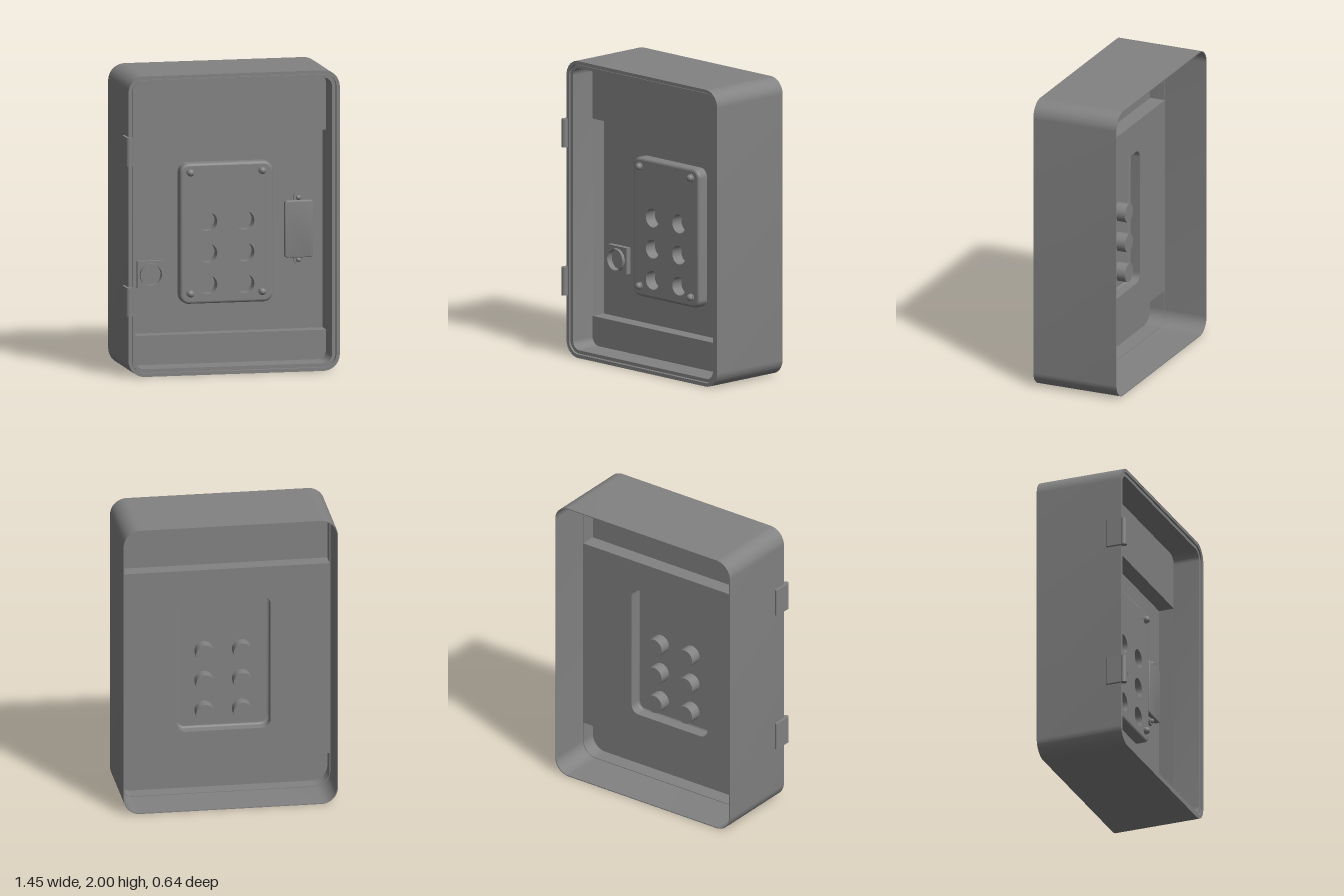
import * as THREE from 'three';
import { toCreasedNormals } from 'three/addons/utils/BufferGeometryUtils.js';

const material = new THREE.MeshStandardMaterial({ color: 0x828282, side: THREE.DoubleSide });
const CX = 0.0105; // the case sits slightly off centre because of the hinges

function add(parent, name, geometry, x = 0, y = 0, z = 0) {
  const mesh = new THREE.Mesh(geometry, material);
  mesh.name = name;
  mesh.position.set(x, y, z);
  parent.add(mesh);
}

// Rounded rectangle outline from its limits
function roundRect(x0, x1, y0, y1, r, Type = THREE.Shape) {
  const s = new Type();
  s.moveTo(x0 + r, y0);
  s.lineTo(x1 - r, y0);
  s.absarc(x1 - r, y0 + r, r, -Math.PI / 2, 0);
  s.lineTo(x1, y1 - r);
  s.absarc(x1 - r, y1 - r, r, 0, Math.PI / 2);
  s.lineTo(x0 + r, y1);
  s.absarc(x0 + r, y1 - r, r, Math.PI / 2, Math.PI);
  s.lineTo(x0, y0 + r);
  s.absarc(x0 + r, y0 + r, r, Math.PI, Math.PI * 1.5);
  return s;
}

function circle(x, y, r, Type = THREE.Path) {
  const s = new Type();
  s.absarc(x, y, r, 0, Math.PI * 2);
  return s;
}

// Case outline shrunk by d on every side
const caseOutline = (d, Type) =>
  roundRect(CX - 0.713 + d, CX + 0.713 - d, d, 2 - d, 0.11 - d, Type);

// Extrude a shape from z0 to z1; an optional bevel stays inside those limits
function slab(shape, z0, z1, bevel = 0) {
  const g = new THREE.ExtrudeGeometry(shape, {
    depth: z1 - z0 - 2 * bevel, curveSegments: 12, bevelEnabled: bevel > 0,
    bevelSize: bevel, bevelThickness: bevel, bevelOffset: -bevel, bevelSegments: 3,
  });
  g.translate(0, 0, z0 + bevel);
  return toCreasedNormals(g, 0.35);
}

function frame(outer, inner, z0, z1) {
  const shape = caseOutline(outer);
  shape.holes.push(caseOutline(inner, THREE.Path));
  return slab(shape, z0, z1);
}

function cylinderZ(r, length, segments = 32, open = false) {
  return new THREE.CylinderGeometry(r, r, length, segments, 1, open).rotateX(Math.PI / 2);
}

function screw(parent, name, r, x, y, z) {
  add(parent, name, new THREE.SphereGeometry(r, 20, 8, 0, Math.PI * 2, 0, Math.PI / 2)
    .rotateX(Math.PI / 2), x, y, z);
}

export function createModel() {
  const root = new THREE.Group();
  root.name = 'enclosureDoor';
  const MAIN = -0.015, BAND = 0.09, FACE = 0.06, SHEET = 0.006;

  // Thin outer case, open at the back, and the grooved front rim
  add(root, 'outerCase', frame(0, 0.006, -0.32, 0.28));
  add(root, 'pocketWall', frame(0.004, 0.01, MAIN - SHEET, BAND));
  add(root, 'outerLip', frame(0.002, 0.023, BAND - SHEET, 0.279));
  add(root, 'rimGroove', frame(0.02, 0.03, BAND - SHEET, 0.255));
  add(root, 'innerLip', frame(0.028, 0.05, BAND - SHEET, 0.27));

  // Main panel with the console opening, and its side walls
  const X0 = -0.303, X1 = 0.323, Y0 = 0.44, Y1 = 1.375;
  const opening = () => roundRect(X0 + 0.004, X1 - 0.004, Y0 + 0.004, Y1 - 0.004, 0.056, THREE.Path);
  const panel = roundRect(CX - 0.708, CX + 0.708, 0.24, 1.58, 0.001);
  panel.holes.push(opening());
  add(root, 'mainPanel', slab(panel, MAIN - SHEET, MAIN));
  for (const side of [-1, 1]) {
    add(root, 'panelSideWall', new THREE.BoxGeometry(0.04, 1.34, BAND - MAIN), CX + side * 0.685, 0.91, (BAND + MAIN) / 2);
  }

  // Raised bands above and below, joined to the panel by ledges
  for (const [name, y0, y1, ledge] of [['upper', 1.58, 1.955, 1.5775], ['lower', 0.045, 0.24, 0.2425]]) {
    add(root, name + 'Band', new THREE.BoxGeometry(1.35, y1 - y0, SHEET), CX, (y0 + y1) / 2, BAND - SHEET / 2);
    add(root, name + 'Ledge', new THREE.BoxGeometry(1.41, 0.005, BAND - MAIN + SHEET),
      CX, ledge, (BAND + MAIN - SHEET) / 2);
  }

  // Console: hollow raised box with button wells
  const consoleGroup = new THREE.Group();
  consoleGroup.name = 'console';
  root.add(consoleGroup);
  const EDGE = 0.018;
  const wall = roundRect(X0, X1, Y0, Y1, 0.06);
  wall.holes.push(opening());
  add(consoleGroup, 'consoleWall', slab(wall, MAIN - SHEET, FACE - EDGE));
  const wells = [];
  for (const x of [-0.116, 0.134]) for (const y of [0.565, 0.775, 0.985]) wells.push([x, y]);
  const plate = roundRect(X0 + EDGE, X1 - EDGE, Y0 + EDGE, Y1 - EDGE, 0.06 - EDGE);
  for (const [x, y] of wells) plate.holes.push(circle(x, y, 0.063));
  add(consoleGroup, 'consoleFace', slab(plate, FACE - SHEET, FACE));

  // Rounded console border, from outlines stepped around a quarter circle
  const positions = [], indices = [], STEPS = 4;
  for (let i = 0; i <= STEPS; i++) {
    const a = (i / STEPS) * Math.PI / 2;
    const d = EDGE * (1 - Math.cos(a)), z = FACE - EDGE + EDGE * Math.sin(a);
    roundRect(X0 + d, X1 - d, Y0 + d, Y1 - d, 0.06 - d).extractPoints(12).shape
      .forEach((p) => positions.push(p.x, p.y, z));
  }
  const n = positions.length / 3 / (STEPS + 1);
  for (let i = 0; i < STEPS; i++) {
    for (let j = 0; j < n; j++) {
      const a = i * n + j, b = i * n + (j + 1) % n;
      indices.push(a, b, b + n, a, b + n, a + n);
    }
  }
  const border = new THREE.BufferGeometry();
  border.setAttribute('position', new THREE.Float32BufferAttribute(positions, 3));
  border.setIndex(indices);
  border.computeVertexNormals();
  add(consoleGroup, 'consoleBorder', border);

  for (const [x, y] of wells) {
    add(consoleGroup, 'buttonWell', cylinderZ(0.063, 0.085, 32, true), x, y, FACE - 0.0435);
    add(consoleGroup, 'buttonWellFloor', cylinderZ(0.063, 0.004), x, y, FACE - 0.085);
  }
  for (const x of [-0.235, 0.25]) for (const y of [0.51, 1.315]) {
    add(consoleGroup, 'screwCollar', cylinderZ(0.026, 0.012, 20), x, y, FACE + 0.006);
    screw(consoleGroup, 'consoleScrew', 0.024, x, y, FACE + 0.01);
  }

  // Lock: square base with a hollow round collar
  const lock = new THREE.Group();
  lock.name = 'lock';
  lock.position.set(-0.492, 0.64, 0);
  root.add(lock);
  const base = roundRect(-0.09, 0.09, -0.09, 0.09, 0.002);
  base.holes.push(circle(0, 0, 0.069));
  add(lock, 'lockBase', slab(base, MAIN, 0.022));
  const collar = circle(0, 0, 0.076, THREE.Shape);
  collar.holes.push(circle(0, 0, 0.069));
  add(lock, 'lockCollar', slab(collar, 0.022, 0.045));
  add(lock, 'lockFloor', cylinderZ(0.069, 0.004), 0, 0, 0);

  // Latch cover with a screw tab at each end
  const latch = new THREE.Group();
  latch.name = 'latch';
  root.add(latch);
  add(latch, 'latchCover', slab(roundRect(0.413, 0.602, 0.72, 1.1, 0.018), MAIN, 0.025, 0.008));
  for (const y of [0.703, 1.117]) {
    add(latch, 'latchTab', cylinderZ(0.032, 0.015, 24), 0.508, y, MAIN + 0.0075);
    screw(latch, 'latchScrew', 0.017, 0.508, y, MAIN + 0.015);
  }

  // Hinges: barrel and leaf on the right-hand side of the case
  for (const y of [0.505, 1.503]) {
    const hinge = new THREE.Group();
    hinge.name = 'hinge';
    hinge.position.y = y;
    root.add(hinge);
    add(hinge, 'hingeBarrel', new THREE.CylinderGeometry(0.022, 0.022, 0.19, 24), -0.7015, 0, 0.298);
    add(hinge, 'hingeLeaf', new THREE.BoxGeometry(0.02, 0.19, 0.11), -0.711, 0, 0.243);
    add(hinge, 'hingeLeafEnd', new THREE.CylinderGeometry(0.01, 0.01, 0.19, 16), -0.711, 0, 0.188);
  }
  return root;
}
